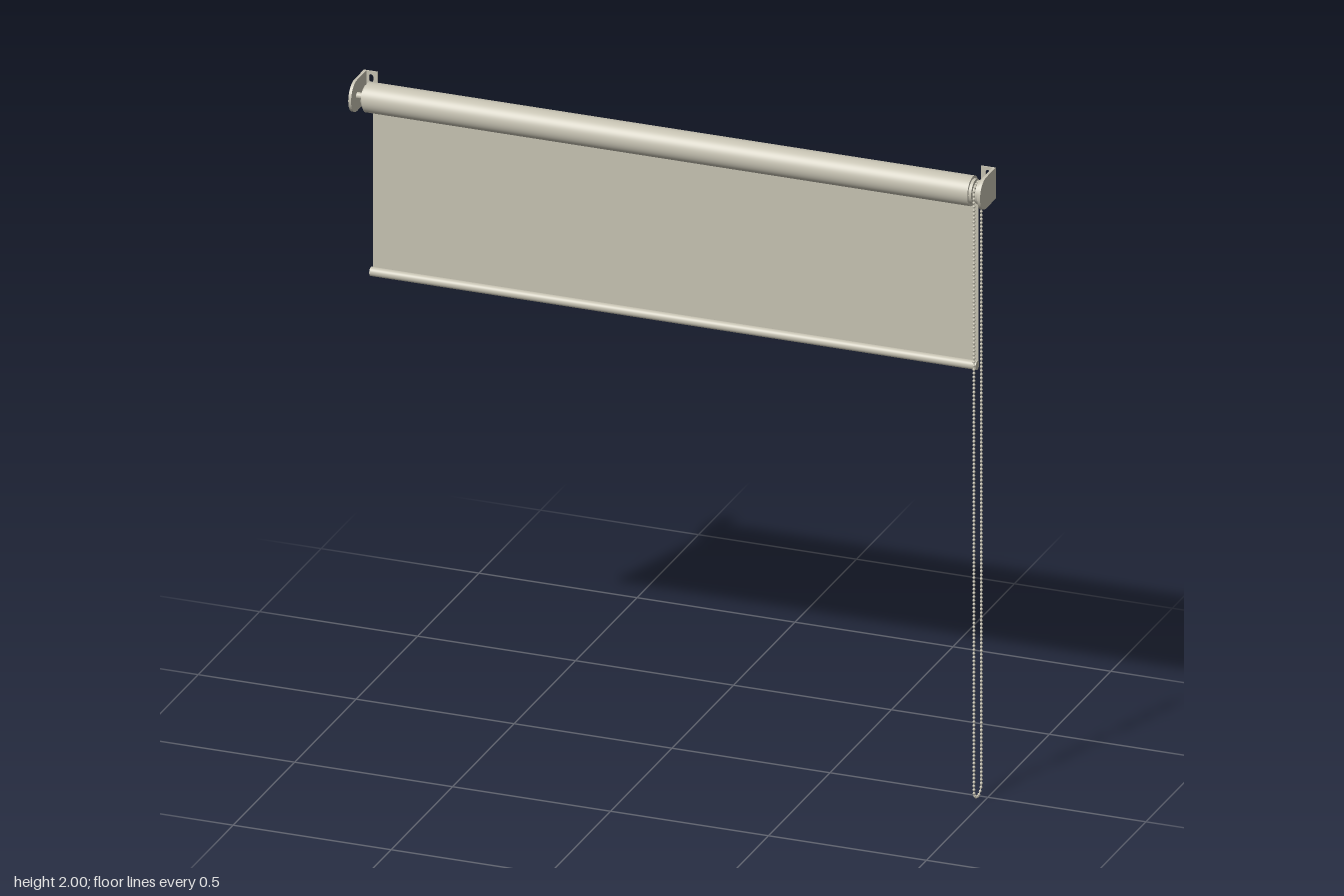
import * as THREE from 'three';

const CY = 1.95, CZ = 0.014; // roller axis
const CHAIN_X = 0.973, CHAIN_R = 0.03;

export function createModel() {
  const model = new THREE.Group();
  model.name = 'rollerBlind';
  const beige = new THREE.MeshStandardMaterial({ color: 0xc6c2b2 });
  beige.name = 'warm beige';

  const add = (name, geometry, parent = model) => {
    const mesh = new THREE.Mesh(geometry, beige);
    mesh.name = name;
    parent.add(mesh);
    return mesh;
  };
  // cylinder lying along x between x0 and x1
  const bar = (name, r, x0, x1, y, z, parent, sides = 40) => {
    const g = new THREE.CylinderGeometry(r, r, x1 - x0, sides).rotateZ(-Math.PI / 2);
    return add(name, g.translate((x0 + x1) / 2, y, z), parent);
  };

  // Rolled fabric, hanging sheet and bottom rail
  bar('roller', 0.046, -0.958, 0.958, CY, CZ, model, 64);
  const sheetZ = CZ - 0.0455;
  add('fabricSheet', new THREE.BoxGeometry(1.916, CY - 1.365, 0.001)
    .translate(0, (CY + 1.365) / 2, sheetZ));
  bar('bottomRail', 0.014, -0.96, 0.96, 1.376, sheetZ + 0.014);

  // End brackets: rounded side plate and a drilled wall flange
  for (const side of [-1, 1]) {
    const bracket = new THREE.Group();
    bracket.name = side > 0 ? 'leftBracket' : 'rightBracket';
    model.add(bracket);

    const plate = new THREE.Shape();
    plate.moveTo(-0.064, CY - 0.05);
    plate.lineTo(CZ, CY - 0.05);
    plate.absarc(CZ, CY, 0.05, -Math.PI / 2, Math.PI / 2, false);
    plate.lineTo(-0.064, CY + 0.05);
    plate.closePath();
    const plateGeo = new THREE.ExtrudeGeometry(plate, { depth: 0.009, bevelEnabled: false, curveSegments: 24 });
    add('sidePlate', plateGeo.rotateY(-Math.PI / 2).translate(side > 0 ? 1 : -0.991, 0, 0), bracket);

    const flange = new THREE.Shape();
    flange.moveTo(-0.021, -0.05);
    flange.lineTo(0.021, -0.05);
    flange.lineTo(0.021, 0.05);
    flange.lineTo(-0.021, 0.05);
    flange.closePath();
    for (const y of [-0.027, 0.027]) {
      const slot = new THREE.Path();
      slot.absarc(0, y + 0.006, 0.007, 0, Math.PI, false);
      slot.absarc(0, y - 0.006, 0.007, Math.PI, Math.PI * 2, false);
      slot.closePath();
      flange.holes.push(slot);
    }
    const flangeGeo = new THREE.ExtrudeGeometry(flange, { depth: 0.004, bevelEnabled: false, curveSegments: 8 });
    add('wallFlange', flangeGeo.translate(side * 0.976, CY, -0.064), bracket);
  }

  // Idler pin on one end, chain clutch on the other
  bar('idlerPin', 0.01, -0.993, -0.955, CY, CZ, model, 20);
  bar('idlerCap', 0.036, -0.966, -0.957, CY, CZ);
  bar('clutchInnerRim', 0.038, 0.956, 0.967, CY, CZ);
  bar('clutchHub', 0.027, 0.965, 0.983, CY, CZ);
  bar('clutchOuterRim', 0.038, 0.979, 0.992, CY, CZ);

  // Endless bead chain: two straight runs joined by half circles
  const bead = 0.0045, low = bead + CHAIN_R;
  const run = CY - low, arc = Math.PI * CHAIN_R, total = 2 * (run + arc);
  const pointAt = (d) => {
    let y, z;
    if (d < run) [y, z] = [CY - d, CHAIN_R];
    else if (d < run + arc) {
      const a = (d - run) / CHAIN_R;
      [y, z] = [low - CHAIN_R * Math.sin(a), CHAIN_R * Math.cos(a)];
    } else if (d < 2 * run + arc) [y, z] = [low + d - run - arc, -CHAIN_R];
    else {
      const a = (d - 2 * run - arc) / CHAIN_R;
      [y, z] = [CY + CHAIN_R * Math.sin(a), -CHAIN_R * Math.cos(a)];
    }
    return new THREE.Vector3(CHAIN_X, y, CZ + z);
  };
  const chain = new THREE.Group();
  chain.name = 'beadChain';
  model.add(chain);

  const count = 330;
  const beads = [];
  for (let i = 0; i < count; i++) beads.push(pointAt((i / count) * total));
  const beadGeo = new THREE.SphereGeometry(bead, 10, 7);
  for (const p of beads) add('chainBead', beadGeo, chain).position.copy(p);
  const cordPath = new THREE.CatmullRomCurve3(beads, true);
  add('chainCord', new THREE.TubeGeometry(cordPath, count, 0.002, 6, true), chain);

  return model;
}
